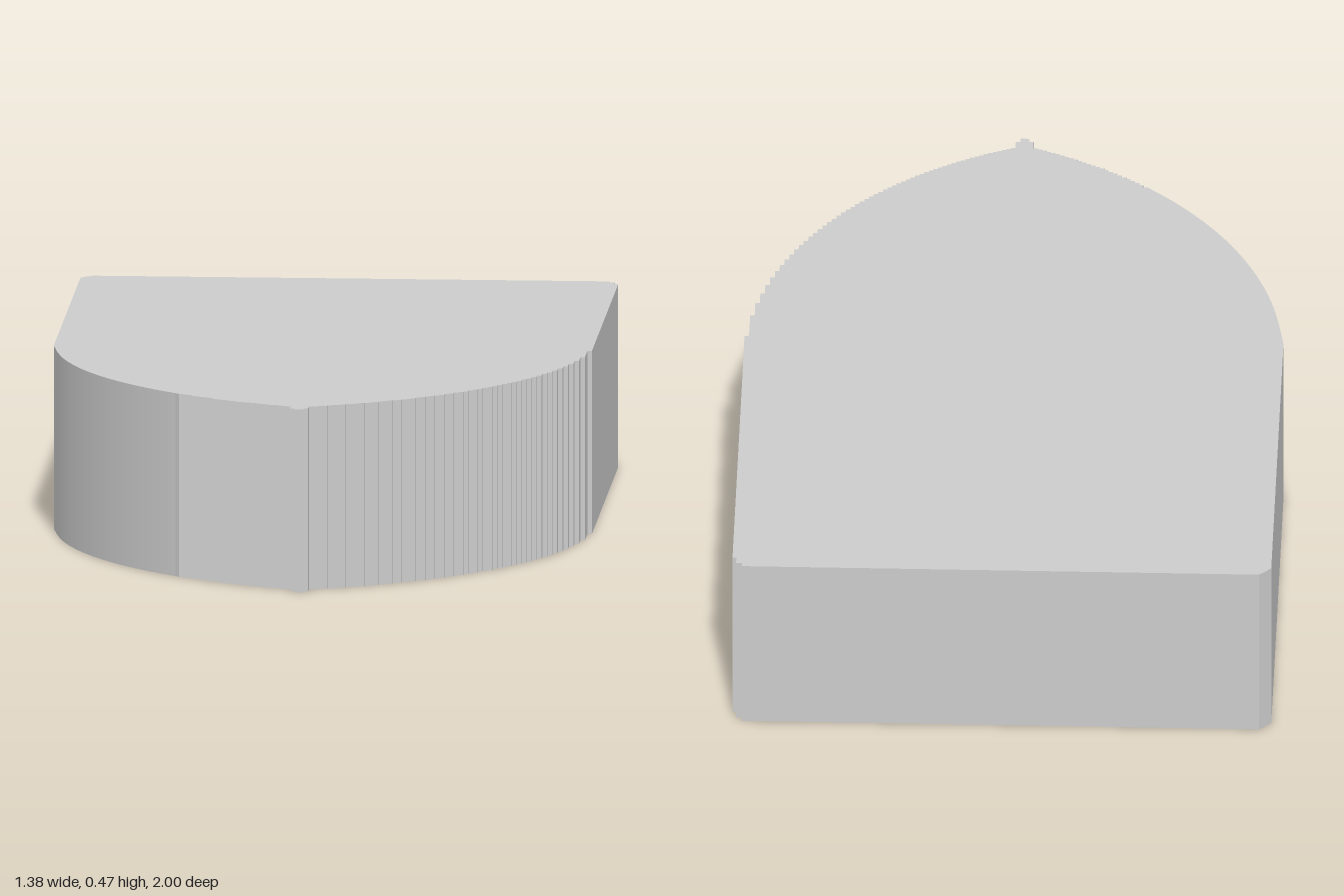
import * as THREE from 'three';

const HALF = 0.69, HEIGHT = 0.475, COLUMNS = 60;
const STEP = HALF / COLUMNS;

// Pointed-arch curve: z of the nose edge at a distance x from the middle
const archZ = (x) => Math.sqrt(1.04 ** 2 - (x + 0.35) ** 2) - 0.012;

// Nose depth of one narrow column, with a small nub at the very tip
function columnZ(i) {
  if (i === 0) return 1;
  if (i === 1) return 0.985;
  return archZ((i + 0.75) * STEP);
}

// Outline as [x, z] points
function outline() {
  const points = [
    [-0.66, -1], [-0.67, -0.99], [-0.69, -0.97],
  ];
  // Left flank: fine facets that become small steps near the tip
  points.push([-HALF, 0.07]);
  for (let i = COLUMNS - 2; i >= 0; i--) {
    const z = columnZ(i);
    if (z > 0.78) points.push([-(i + 1) * STEP, z], [-i * STEP, z]);
    else points.push([-(i + 0.75) * STEP, z]);
  }
  // Right flank: narrow square steps
  for (let i = 0; i < COLUMNS; i++) {
    const z = columnZ(i);
    if (i > 0) points.push([i * STEP, z]);
    points.push([(i + 1) * STEP, z]);
  }
  // Stepped back corner
  points.push([HALF, -0.96], [0.68, -0.96], [0.68, -0.985], [0.665, -0.985], [0.665, -1]);
  return points;
}

export function createModel() {
  const group = new THREE.Group();
  group.name = 'shieldBlock';

  // Solid shield-shaped slab, extruded upward
  const shape = new THREE.Shape(outline().map(([x, z]) => new THREE.Vector2(x, -z)));
  const geometry = new THREE.ExtrudeGeometry(shape, { depth: HEIGHT, bevelEnabled: false });
  geometry.rotateX(-Math.PI / 2);
  const slab = new THREE.Mesh(
    geometry,
    new THREE.MeshStandardMaterial({ color: 0xcccccc, flatShading: true })
  );
  slab.name = 'slab';
  group.add(slab);
  return group;
}
